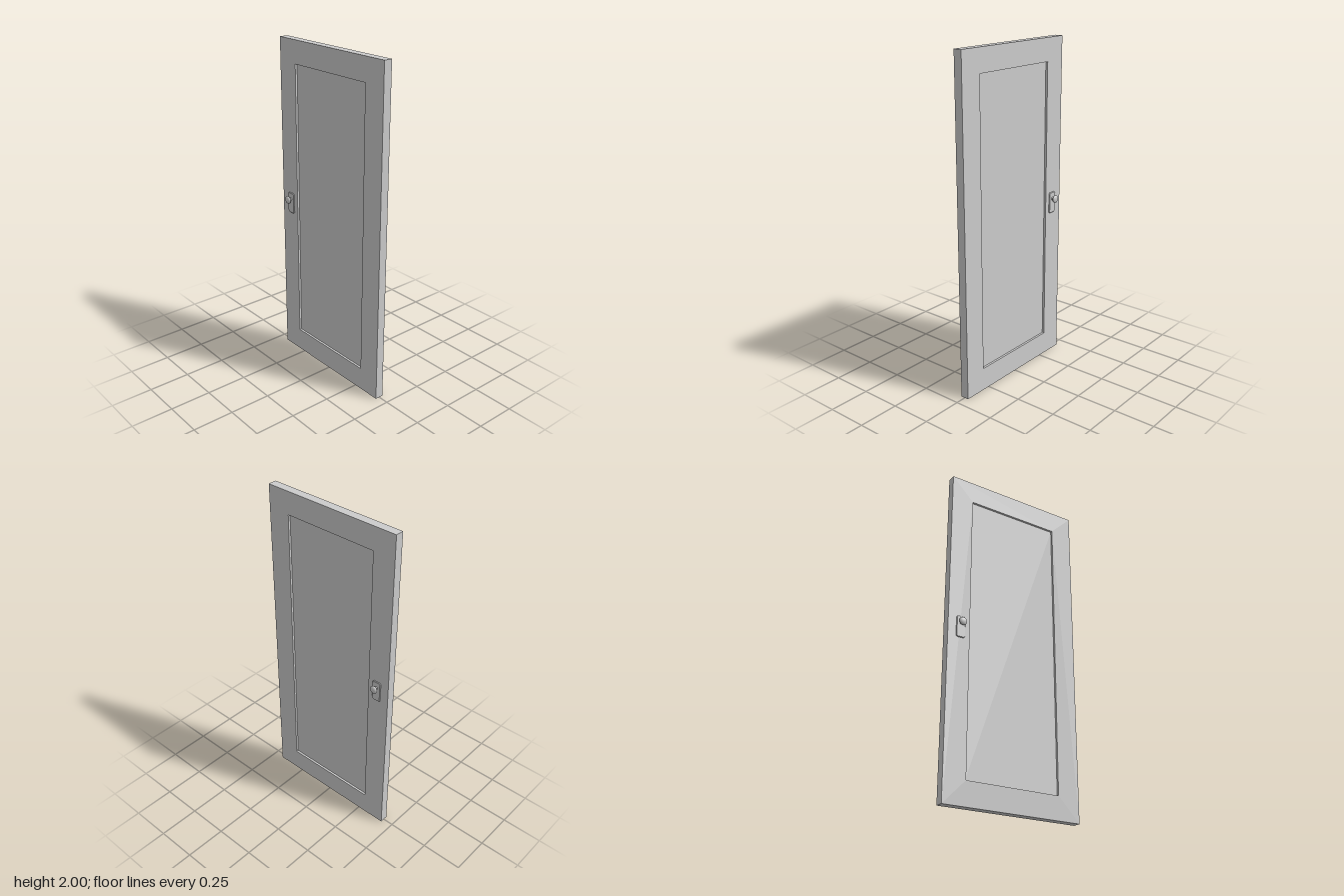
import * as THREE from 'three';

const material = new THREE.MeshStandardMaterial({ color: 0xcccccc });

function rect(target, w, y0, y1) {
  target.moveTo(-w, y0);
  target.lineTo(w, y0);
  target.lineTo(w, y1);
  target.lineTo(-w, y1);
  target.closePath();
  return target;
}

function add(parent, name, geometry) {
  const mesh = new THREE.Mesh(geometry, material);
  mesh.name = name;
  parent.add(mesh);
  return mesh;
}

// Plate, stem and knob, built facing +z around the spindle
function createHandle() {
  const handle = new THREE.Group();

  const c = 0.006, w = 0.025, y0 = -0.087, y1 = 0.037;
  const outline = new THREE.Shape([
    [-w + c, y0], [w - c, y0], [w, y0 + c], [w, y1 - c],
    [w - c, y1], [-w + c, y1], [-w, y1 - c], [-w, y0 + c],
  ].map(([x, y]) => new THREE.Vector2(x, y)));
  const plate = new THREE.ExtrudeGeometry(outline, {
    depth: 0.003, bevelEnabled: true, bevelThickness: 0.003,
    bevelSize: 0.003, bevelOffset: 0, bevelSegments: 1,
  });
  add(handle, 'handlePlate', plate);

  const stem = new THREE.LatheGeometry([
    [0.010, 0.005], [0.009, 0.008], [0.0055, 0.010], [0.0055, 0.016], [0.008, 0.020],
  ].map(([r, y]) => new THREE.Vector2(r, y)), 24);
  stem.rotateX(Math.PI / 2);
  add(handle, 'knobStem', stem);

  const knob = new THREE.SphereGeometry(0.024, 32, 20);
  knob.rotateX(Math.PI / 2);
  knob.scale(1, 1, 0.46);
  add(handle, 'knob', knob).position.z = 0.028;
  return handle;
}

export function createModel() {
  const door = new THREE.Group();
  door.name = 'door';
  const half = 0.0255;

  // Surrounding frame with a rectangular opening
  const shape = rect(new THREE.Shape(), 0.434, 0, 2);
  shape.holes.push(rect(new THREE.Path(), 0.295, 0.14, 1.863));
  const frame = new THREE.ExtrudeGeometry(shape, { depth: half * 2, bevelEnabled: false });
  frame.translate(0, 0, -half);
  frame.rotateY(Math.PI / 2);
  add(door, 'doorFrame', frame);

  // Recessed panel filling the opening
  const panel = new THREE.BoxGeometry(0.024, 1.723, 0.59);
  add(door, 'recessedPanel', panel).position.y = 1.0015;

  // A matching handle on each face
  for (const side of [-1, 1]) {
    const handle = createHandle();
    handle.name = side > 0 ? 'leftHandle' : 'rightHandle';
    handle.position.set(side * half, 1.03, -0.354);
    handle.rotation.y = side * Math.PI / 2;
    door.add(handle);
  }
  return door;
}
